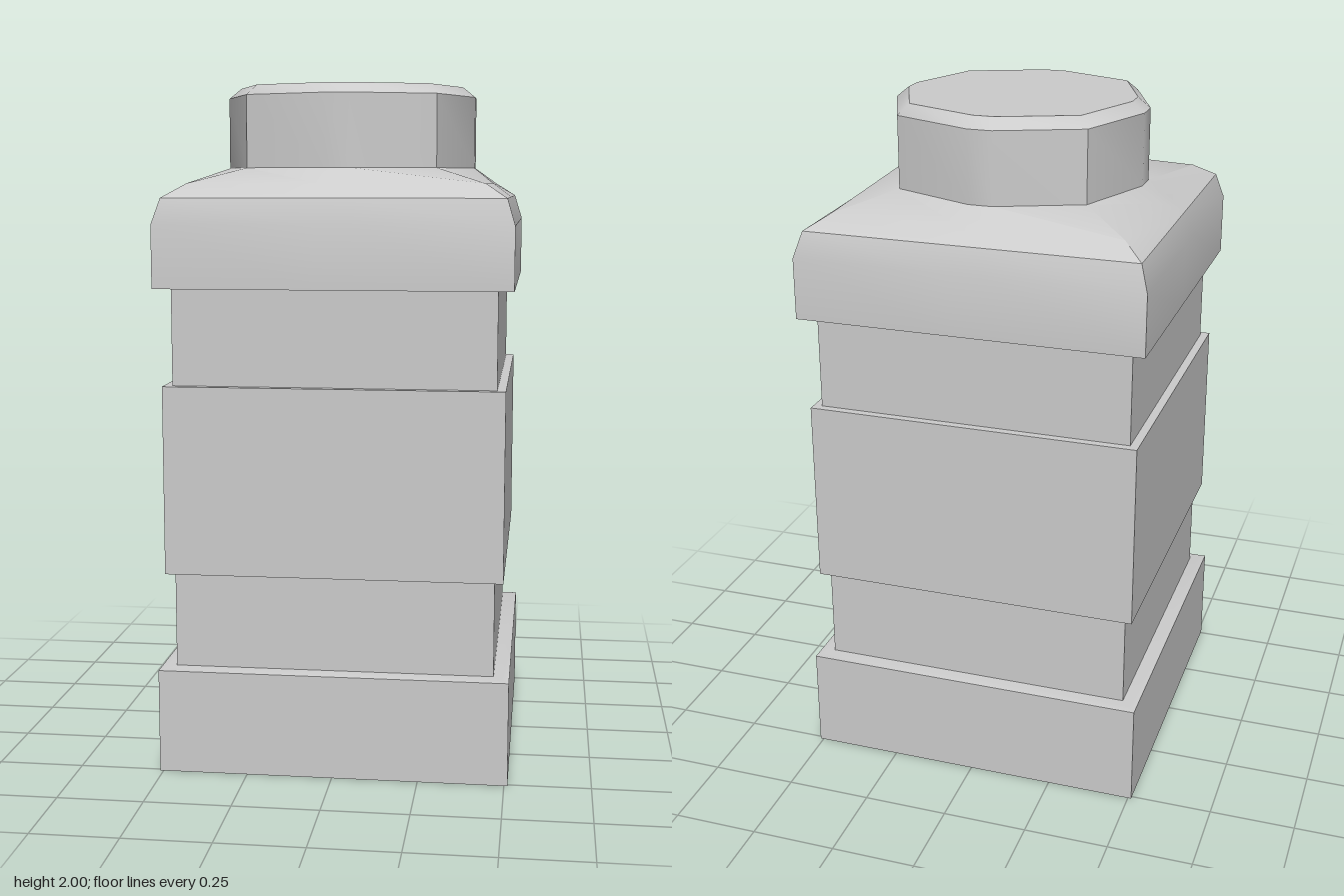
import * as THREE from 'three';
import { toCreasedNormals } from 'three/addons/utils/BufferGeometryUtils.js';

const material = new THREE.MeshStandardMaterial({ color: 0xcccccc });

// Twelve-point ring: each quadrant has two edge points around one diagonal corner.
function ring([y, reach, corner = reach]) {
  const edge = reach * 0.095;
  const points = [];
  for (let q = 0; q < 4; q++) {
    const c = Math.round(Math.cos(q * Math.PI / 2));
    const s = Math.round(Math.sin(q * Math.PI / 2));
    for (const [x, z] of [[reach, edge], [corner, corner], [edge, reach]]) {
      points.push([x * c - z * s, y, x * s + z * c]);
    }
  }
  return points;
}

// Closed loft through sections [height, reach along axis, reach of diagonal corner].
function loft(name, sections) {
  const n = 12;
  const rings = sections.map(ring);
  const last = (rings.length - 1) * n;
  const vertices = rings.flat();
  const bottom = vertices.length;
  const top = bottom + 1;
  vertices.push([0, sections[0][0], 0], [0, sections.at(-1)[0], 0]);
  const index = [];
  for (let j = 0; j < n; j++) {
    const k = (j + 1) % n;
    for (let i = 0; i < last; i += n) {
      index.push(i + j, i + n + j, i + n + k, i + j, i + n + k, i + k);
    }
    index.push(bottom, j, k, top, last + k, last + j);
  }
  const geometry = new THREE.BufferGeometry();
  geometry.setAttribute('position', new THREE.Float32BufferAttribute(vertices.flat(), 3));
  geometry.setIndex(index);
  const mesh = new THREE.Mesh(toCreasedNormals(geometry, 0.6), material);
  mesh.name = name;
  return mesh;
}

export function createModel() {
  const group = new THREE.Group();
  group.name = 'squareBottle';
  group.add(
    // Square body, stacked from the ground up
    loft('base', [[0, 0.51], [0.305, 0.51], [0.31, 0.49]]),
    loft('lowerNeck', [[0.31, 0.465], [0.59, 0.465]]),
    loft('labelBand', [[0.59, 0.49], [1.14, 0.49]]),
    loft('upperNeck', [[1.14, 0.465], [1.42, 0.465]]),
    // Shoulder blends from the square body to the twelve-sided cap
    loft('shoulder', [
      [1.42, 0.51], [1.6, 0.51], [1.675, 0.487],
      [1.715, 0.432, 0.425], [1.76, 0.375, 0.277],
    ]),
    // Cap with a bevelled rim
    loft('cap', [[1.76, 0.375, 0.277], [1.97, 0.375, 0.277], [2, 0.338, 0.25]]),
  );
  return group;
}
